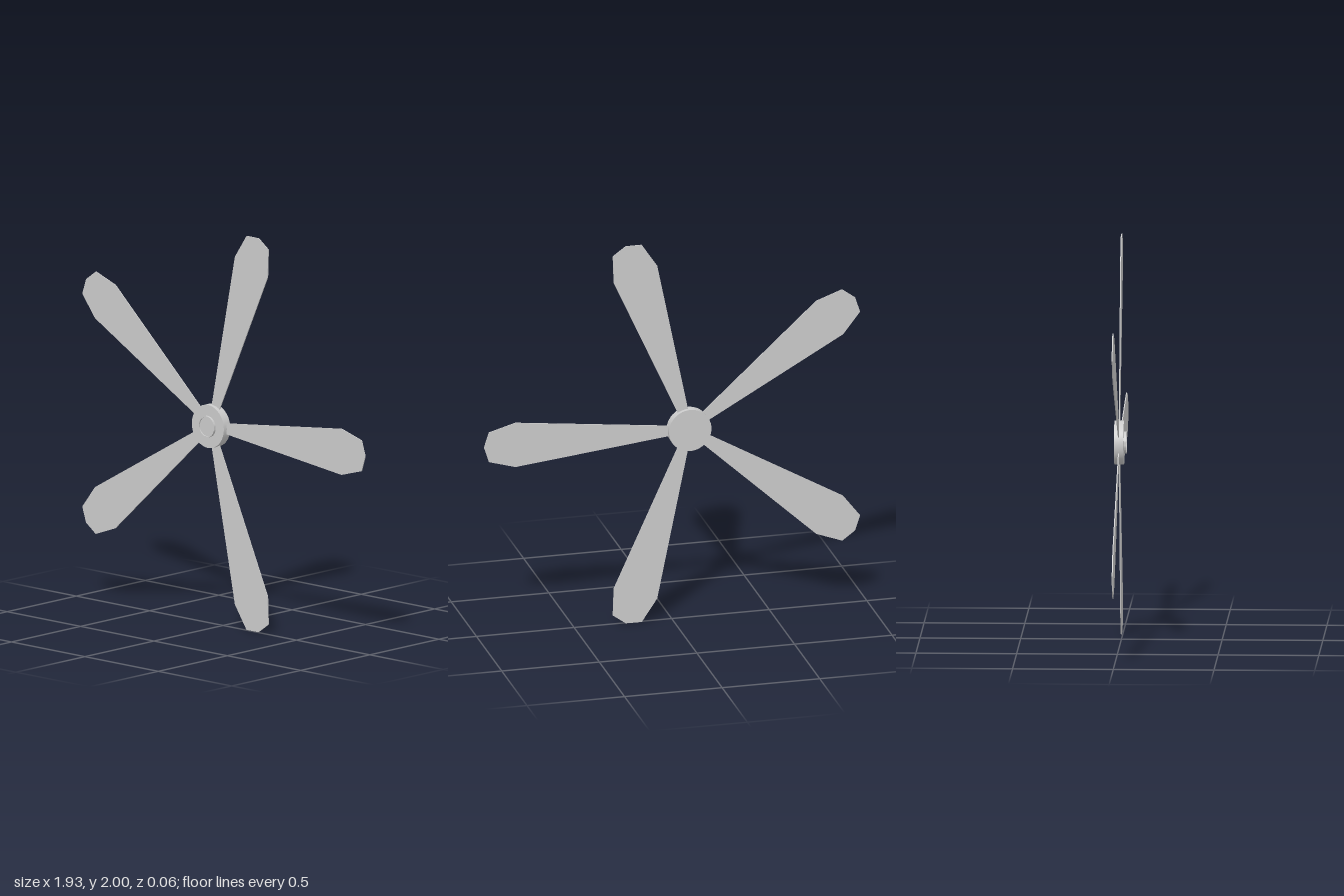
import * as THREE from 'three';
import { toCreasedNormals } from 'three/addons/utils/BufferGeometryUtils.js';

const BLADES = 5;

// Solid of revolution about z, from [radius, z] pairs running back to front
function turned(name, profile, material) {
  const points = profile.map(([r, z]) => new THREE.Vector2(r, z));
  const geometry = new THREE.LatheGeometry(points, 48).rotateX(Math.PI / 2);
  const mesh = new THREE.Mesh(toCreasedNormals(geometry, 0.6), material);
  mesh.name = name;
  return mesh;
}

// Flat paddle along +x: narrow root, wide shoulder, clipped tip
function bladeGeometry() {
  const edge = [[0.1, 0.027], [0.89, 0.117], [1.026, 0.078]];
  const outline = [
    ...edge.map(([x, y]) => new THREE.Vector2(x, -y)),
    new THREE.Vector2(1.051, 0),
    ...edge.map(([x, y]) => new THREE.Vector2(x, y)).reverse(),
  ];
  const depth = 0.005;
  return new THREE.ExtrudeGeometry(new THREE.Shape(outline), { depth, bevelEnabled: false })
    .translate(0, 0, -0.007 - depth / 2);
}

export function createModel() {
  const material = new THREE.MeshStandardMaterial({ color: 0xcccccc });
  const model = new THREE.Group();
  model.name = 'fanRotor';

  // Hub disc
  model.add(turned('hub', [[0, -0.03], [0.109, -0.03], [0.109, 0.017], [0, 0.017]], material));

  // Raised front cap with a thin rim around a shallow recess
  model.add(turned('hubCap',
    [[0.054, 0.016], [0.054, 0.03], [0.048, 0.03], [0.048, 0.023], [0, 0.023]], material));

  // Blades spaced evenly around the hub
  const geometry = bladeGeometry();
  for (let i = 0; i < BLADES; i++) {
    const blade = new THREE.Mesh(geometry, material);
    blade.name = `blade${i + 1}`;
    blade.rotation.z = (i / BLADES) * Math.PI * 2;
    model.add(blade);
  }

  model.position.set(-0.0875, 1, 0);
  const root = new THREE.Group();
  root.add(model);
  return root;
}
